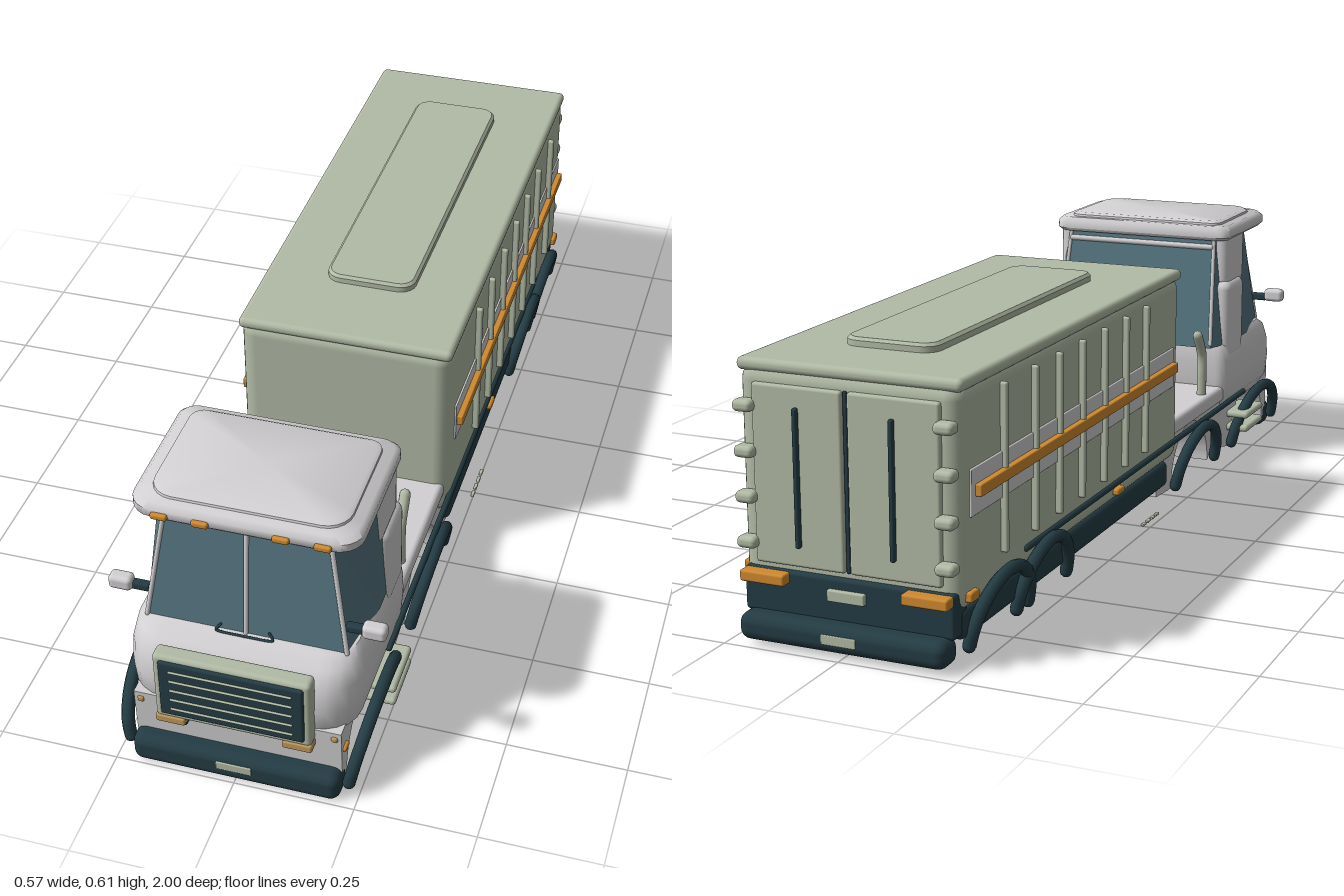
import * as THREE from 'three';
import { toCreasedNormals } from 'three/addons/utils/BufferGeometryUtils.js';
import { RoundedBoxGeometry } from 'three/addons/geometries/RoundedBoxGeometry.js';

const paint = (name, color) => Object.assign(new THREE.MeshStandardMaterial({ color }), { name });

export function createModel() {
  const white = paint('white', 0xd2d0d2), green = paint('sage green', 0xb2bba6);
  const glass = paint('teal glass', 0x54747f), dark = paint('dark slate', 0x243c44);
  const orange = paint('orange', 0xd08a30), tan = paint('tan', 0xc19a5c);
  const truck = new THREE.Group();
  truck.name = 'truck';

  const add = (name, geo, mat) => {
    const m = new THREE.Mesh(geo, mat);
    m.name = name;
    truck.add(m);
    return m;
  };
  // rounded block given by its min and max on each axis
  const block = (name, mat, [x0, x1], [y0, y1], [z0, z1], r = 0.005) => {
    const w = x1 - x0, h = y1 - y0, d = z1 - z0;
    const geo = new RoundedBoxGeometry(w, h, d, 3, Math.min(r, 0.48 * Math.min(w, h, d)));
    return add(name, geo.translate((x0 + x1) / 2, (y0 + y1) / 2, (z0 + z1) / 2), mat);
  };
  // the same block on both sides
  const blocks = (name, mat, [a, b], y, z, r) => {
    block(name + 'Left', mat, [a, b], y, z, r);
    block(name + 'Right', mat, [-b, -a], y, z, r);
  };
  // round tube through points, with round ends
  const tube = (name, mat, pts, r, seg = 24) => {
    const v = pts.map(p => new THREE.Vector3(...p));
    const path = v.length === 2 ? new THREE.LineCurve3(v[0], v[1]) : new THREE.CatmullRomCurve3(v);
    add(name, new THREE.TubeGeometry(path, v.length === 2 ? 1 : seg, r, 10), mat);
    for (const p of [v[0], v[v.length - 1]])
      add(name + 'End', new THREE.SphereGeometry(r, 10, 6).translate(p.x, p.y, p.z), mat);
  };
  const tubes = (name, mat, pts, r) => {
    for (const s of [1, -1])
      tube(name + (s > 0 ? 'Left' : 'Right'), mat, pts.map(([x, y, z]) => [s * x, y, z]), r);
  };
  // skin over horizontal rings of [x, z] points, each at its height
  const loft = (name, mat, rings, crease = 0.6) => {
    const pos = [], n = rings[0].pts.length;
    const put = (...ps) => ps.forEach(p => pos.push(...p));
    const at = (k, i) => [rings[k].pts[i % n][0], rings[k].y, rings[k].pts[i % n][1]];
    const mid = k => {
      const z = rings[k].pts.reduce((s, p) => s + p[1], 0) / n;
      return [0, rings[k].y, z];
    };
    const top = rings.length - 1;
    for (let i = 0; i < n; i++) {
      for (let k = 0; k < top; k++) {
        put(at(k, i), at(k + 1, i + 1), at(k, i + 1));
        put(at(k, i), at(k + 1, i), at(k + 1, i + 1));
      }
      put(mid(0), at(0, i), at(0, i + 1));
      put(mid(top), at(top, i + 1), at(top, i));
    }
    const geo = new THREE.BufferGeometry();
    geo.setAttribute('position', new THREE.Float32BufferAttribute(pos, 3));
    return add(name, toCreasedNormals(geo, crease), mat);
  };
  // rounded rectangle ring with its own front and rear corner radius
  const ring = (y, hw, zb, zf, rf, rb = 0.03) => {
    const pts = [];
    [[1, zf - rf, rf], [-1, zf - rf, rf], [-1, zb + rb, rb], [1, zb + rb, rb]].forEach(([s, z, r], q) => {
      for (let i = 0; i <= 5; i++) {
        const t = (q + i / 5) * Math.PI / 2;
        pts.push([s * (hw - r) + r * Math.cos(t), z + r * Math.sin(t)]);
      }
    });
    return { y, pts };
  };

  // chassis body with full-width wheel arches
  const side = new THREE.Shape();
  side.moveTo(0.13, 0.185);
  side.lineTo(0.13, 0.03);
  side.lineTo(0.21, 0.025);
  side.absarc(0.36, 0.025, 0.13, Math.PI, 0, true);
  side.lineTo(0.52, 0.045);
  side.lineTo(0.65, 0.02);
  side.absarc(0.8, 0.025, 0.13, Math.PI, 0, true);
  side.lineTo(0.96, 0.04);
  side.lineTo(0.965, 0.165);
  side.lineTo(0.57, 0.17);
  side.lineTo(0.565, 0.19);
  const chassis = new THREE.ExtrudeGeometry(side, { depth: 0.43, bevelEnabled: false, curveSegments: 24 });
  add('chassisBody', toCreasedNormals(chassis.rotateY(-Math.PI / 2).translate(0.215, 0, 0), 0.5), white);
  block('rearDeck', white, [-0.225, 0.225], [0.155, 0.195], [0.18, 0.6], 0.012);

  // lower cab
  loft('lowerCab', white, [
    ring(0.13, 0.215, 0.58, 0.95, 0.08), ring(0.16, 0.234, 0.57, 0.962, 0.08),
    ring(0.21, 0.237, 0.565, 0.966, 0.08), ring(0.26, 0.236, 0.565, 0.958, 0.08),
    ring(0.295, 0.23, 0.567, 0.935, 0.07), ring(0.311, 0.218, 0.572, 0.905, 0.06)], 0.8);

  // glasshouse: front, side bulge and rear half widths
  const pane = (y, a, zf, b, c, zb) => ({
    y, pts: [[b, 0.62], [b, 0.74], [a, zf], [-a, zf], [-b, 0.74], [-b, 0.62], [-c, zb], [c, zb]] });
  loft('cabGlass', glass, [pane(0.3, 0.206, 0.89, 0.229, 0.205, 0.53), pane(0.575, 0.165, 0.855, 0.214, 0.19, 0.585)], 0.2);
  tubes('frontPillar', white, [[0.205, 0.31, 0.888], [0.165, 0.57, 0.856]], 0.005);
  tube('windshieldDivider', white, [[0, 0.31, 0.89], [0, 0.57, 0.857]], 0.005);
  tubes('rearPillar', white, [[0.203, 0.31, 0.533], [0.19, 0.57, 0.585]], 0.005);
  tube('rearWindowBar', white, [[-0.185, 0.545, 0.578], [0.185, 0.545, 0.578]], 0.007);
  blocks('doorPillar', white, [0.18, 0.235], [0.26, 0.46], [0.58, 0.7], 0.022);
  blocks('upperDoorPillar', white, [0.17, 0.225], [0.44, 0.58], [0.59, 0.725], 0.022);
  for (const s of [1, -1])
    tube('wiper', dark, [[s * 0.05, 0.325, 0.893], [s * 0.058, 0.314, 0.898], [0.0, 0.311, 0.9]], 0.003);

  // cab roof
  loft('cabRoof', white, [
    ring(0.562, 0.222, 0.575, 0.885, 0.05), ring(0.57, 0.23, 0.568, 0.892, 0.05),
    ring(0.587, 0.23, 0.57, 0.892, 0.05), ring(0.597, 0.22, 0.577, 0.882, 0.05)], 0.9);
  loft('roofCap', white, [
    ring(0.59, 0.2, 0.59, 0.865, 0.05), ring(0.602, 0.198, 0.592, 0.862, 0.05),
    ring(0.607, 0.19, 0.6, 0.852, 0.045)], 0.7);
  for (const x of [0.08, 0.162])
    blocks('roofMarker', orange, [x - 0.017, x + 0.017], [0.569, 0.583], [0.875, 0.9]);

  // grille
  block('grilleFrame', green, [-0.161, 0.161], [0.135, 0.302], [0.95, 0.988], 0.01);
  block('grillePanel', dark, [-0.148, 0.148], [0.15, 0.292], [0.97, 0.994], 0.006);
  for (let i = 0; i < 5; i++)
    block('grilleSlat', green, [-0.126, 0.126], [0.169 + i * 0.025, 0.173 + i * 0.025], [0.985, 0.998], 0.002);

  // head lamps and cab markers
  blocks('headLampHousing', dark, [0.1, 0.135], [0.112, 0.135], [0.945, 0.98]);
  blocks('headLamp', tan, [0.1, 0.162], [0.121, 0.141], [0.95, 0.99]);
  blocks('cornerLampHousing', dark, [0.188, 0.212], [0.135, 0.16], [0.92, 0.962]);
  blocks('cornerLamp', tan, [0.194, 0.208], [0.14, 0.155], [0.935, 0.968]);
  blocks('cabMarker', orange, [0.212, 0.222], [0.106, 0.118], [0.93, 0.955]);

  // bumpers and plates
  block('frontBumper', dark, [-0.217, 0.217], [0, 0.066], [0.93, 0.998], 0.022);
  block('frontPlate', green, [-0.037, 0.037], [0.03, 0.05], [0.985, 1.0], 0.002);
  block('rearBumper', dark, [-0.222, 0.222], [0.01, 0.066], [-0.998, -0.93], 0.022);
  block('rearBumperPlate', green, [-0.037, 0.037], [0.03, 0.05], [-1.0, -0.985], 0.002);

  // mirrors, exhaust stacks and steps
  blocks('mirrorArm', dark, [0.2, 0.24], [0.36, 0.378], [0.865, 0.883]);
  blocks('mirror', white, [0.234, 0.283], [0.359, 0.391], [0.862, 0.893], 0.01);
  tubes('exhaust', green, [[0.2, 0.18, 0.482], [0.2, 0.24, 0.482], [0.2, 0.295, 0.48], [0.2, 0.35, 0.447]], 0.012);
  blocks('lowerStep', green, [0.2, 0.27], [0.063, 0.08], [0.64, 0.77], 0.008);
  blocks('upperStep', green, [0.2, 0.27], [0.098, 0.115], [0.64, 0.77], 0.008);

  // wheel arch rims, leaning outward at the top
  for (const [cz, rz] of [[0.8, 0.165], [0.36, 0.14], [-0.567, 0.125], [-0.772, 0.135]]) {
    const pts = [];
    for (let i = 0; i <= 12; i++) {
      const t = Math.PI * i / 12, h = Math.sin(t);
      pts.push([0.23 + 0.022 * h, 0.035 + 0.112 * h, cz + rz * Math.cos(t)]);
    }
    tubes('wheelArch', dark, pts, 0.0135);
  }
  tubes('sideRail', dark, [[0.237, 0.155, 0.7], [0.237, 0.153, -0.66]], 0.007);
  blocks('sideMarker', orange, [0.23, 0.249], [0.129, 0.144], [-0.195, -0.155]);
  for (let i = 0; i < 4; i++)
    blocks('underDash', green, [0.249, 0.257], [0.02, 0.026], [-0.06 + i * 0.027, -0.041 + i * 0.027], 0.002);

  // cargo box
  block('cargoUnderframe', dark, [-0.23, 0.23], [0.05, 0.112], [-0.93, 0.17], 0.015);
  block('cargoBody', green, [-0.236, 0.236], [0.105, 0.55], [-0.947, 0.22], 0.035);
  block('cargoLid', green, [-0.238, 0.238], [0.532, 0.558], [-0.945, 0.222], 0.012);
  const panel = ring(0.55, 0.1, -0.78, 0.03, 0.035, 0.035);
  loft('roofPanel', green, [panel, { y: 0.57, pts: panel.pts }, ring(0.576, 0.094, -0.774, 0.024, 0.03, 0.03)]);
  blocks('sideBand', white, [0.234, 0.24], [0.29, 0.382], [-0.912, 0.17], 0.002);
  for (const z of [-0.018, -0.14, -0.263, -0.385, -0.505, -0.625, -0.77])
    blocks('sideRib', green, [0.23, 0.25], [0.18, 0.517], [z - 0.006, z + 0.006]);
  blocks('sideStripe', orange, [0.238, 0.253], [0.326, 0.35], [-0.895, 0.163], 0.003);

  // rear doors
  blocks('rearDoor', green, [0.006, 0.198], [0.16, 0.515], [-0.957, -0.94], 0.006);
  block('doorSeam', dark, [-0.004, 0.004], [0.16, 0.515], [-0.952, -0.94], 0.002);
  blocks('doorBar', dark, [0.096, 0.106], [0.2, 0.475], [-0.967, -0.95], 0.004);
  for (const y of [0.2, 0.29, 0.38, 0.47])
    blocks('doorHinge', green, [0.19, 0.232], [y - 0.012, y + 0.012], [-0.975, -0.94], 0.01);

  // rear lamps
  block('rearLampPanel', dark, [-0.225, 0.225], [0.06, 0.15], [-0.958, -0.9], 0.008);
  blocks('rearLamp', orange, [0.125, 0.222], [0.125, 0.148], [-0.982, -0.945]);
  blocks('rearSideMarker', orange, [0.225, 0.246], [0.127, 0.148], [-0.925, -0.89]);
  block('rearPlate', green, [-0.04, 0.04], [0.105, 0.128], [-0.968, -0.95], 0.003);

  return truck;
}
